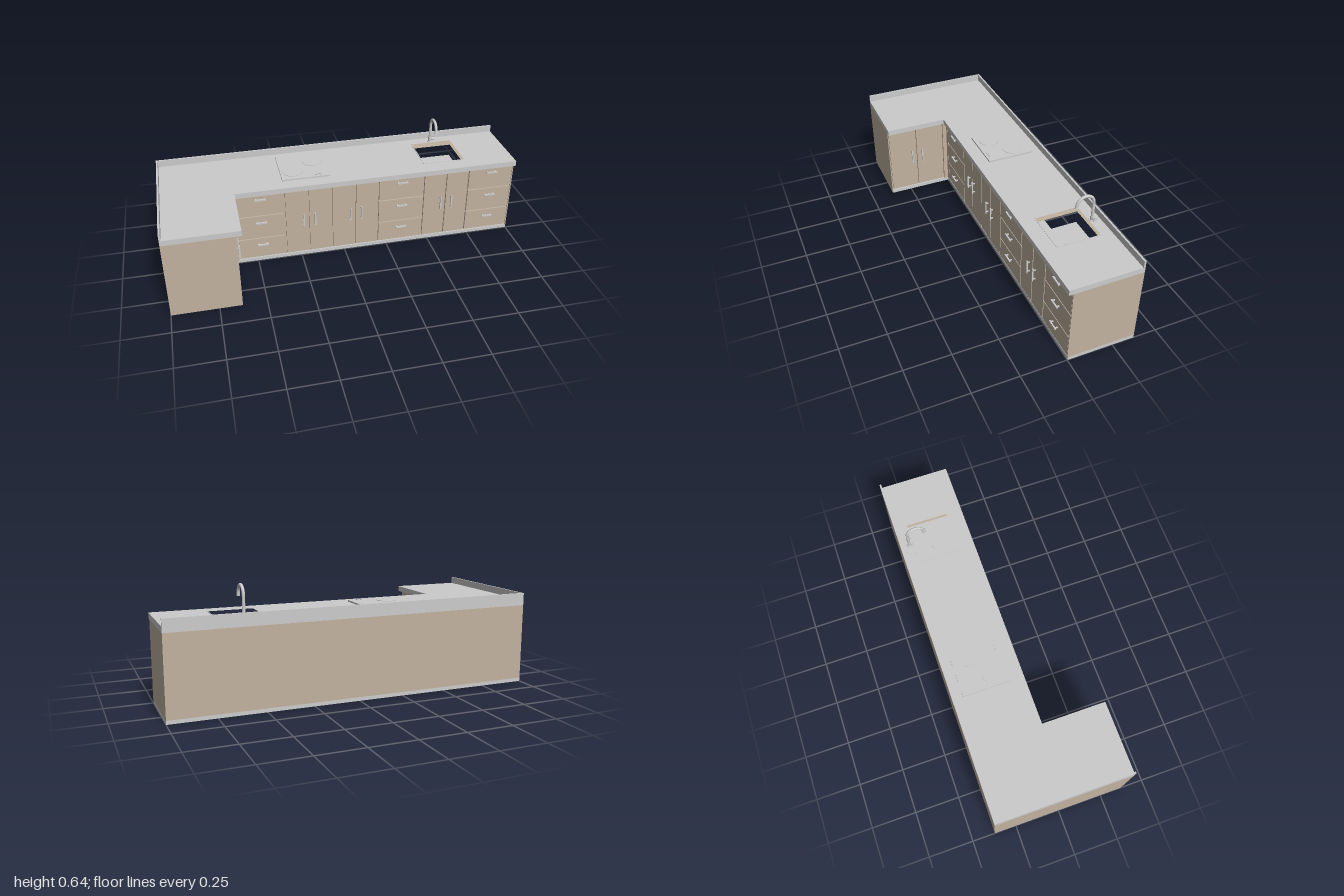
import * as THREE from 'three';

const grey = new THREE.MeshStandardMaterial({ color: 0xcccccc });
const wood = new THREE.MeshStandardMaterial({ color: 0xc1b2a0 });

const BACK = -0.373, END = 0.373, LEFT = -1, RIGHT = 1;
const SINK = { x0: 0.475, x1: 0.72, z0: -0.305, z1: -0.06 };

export function createModel() {
  const root = new THREE.Group();
  root.name = 'kitchenUnit';

  function add(name, geometry, material, parent = root) {
    const mesh = new THREE.Mesh(geometry, material);
    mesh.name = name;
    parent.add(mesh);
    return mesh;
  }

  // Box given by its min and max on each axis
  function box(name, material, x0, x1, y0, y1, z0, z1, parent = root) {
    const mesh = add(name, new THREE.BoxGeometry(x1 - x0, y1 - y0, z1 - z0), material, parent);
    mesh.position.set((x0 + x1) / 2, (y0 + y1) / 2, (z0 + z1) / 2);
    return mesh;
  }

  const rectPoints = (x0, x1, z0, z1) =>
    [[x0, z0], [x1, z0], [x1, z1], [x0, z1]].map(([x, z]) => new THREE.Vector2(x, -z));

  // Plan outline raised from y0 to y1, with an optional rectangular opening
  function slab(name, material, points, hole, y0, y1) {
    const shape = new THREE.Shape(points);
    if (hole) shape.holes.push(new THREE.Path(hole));
    const geometry = new THREE.ExtrudeGeometry(shape, { depth: y1 - y0, bevelEnabled: false });
    geometry.rotateX(-Math.PI / 2);
    geometry.translate(0, y0, 0);
    return add(name, geometry, material);
  }

  // L-shaped plan: long run along the back, short return on one side
  const plan = (faceX, faceZ, end) =>
    [[LEFT, BACK], [RIGHT, BACK], [RIGHT, faceZ], [faceX, faceZ], [faceX, end], [LEFT, end]]
      .map(([x, z]) => new THREE.Vector2(x, -z));

  const opening = rectPoints(SINK.x0, SINK.x1, SINK.z0, SINK.z1);

  // Plinth, carcass and worktop
  slab('plinth', grey, plan(-0.63, -0.002, 0.368), null, 0, 0.02);
  slab('carcass', wood, plan(-0.642, -0.012, 0.368), opening, 0.02, 0.44);
  slab('worktop', grey, plan(-0.603, 0.024, END), opening, 0.44, 0.47);
  box('endPanelReturn', wood, LEFT, -0.63, 0.004, 0.44, 0.367, END);
  box('endPanelRun', wood, 0.994, RIGHT, 0.02, 0.44, -0.012, 0);
  box('cornerPost', wood, -0.645, -0.604, 0.02, 0.44, -0.012, 0);
  box('cornerFiller', wood, -0.642, -0.63, 0.02, 0.44, -0.01, 0.024);

  // Upstands along the back and the return
  box('backUpstand', grey, LEFT, RIGHT, 0.47, 0.508, BACK, BACK + 0.01);
  box('sideUpstand', grey, LEFT, LEFT + 0.01, 0.47, 0.508, BACK + 0.01, END);

  // Bar handle on two posts, standing out along +z
  function handle(length, vertical) {
    const g = new THREE.Group();
    g.name = 'handle';
    box('handleBar', grey, -length / 2, length / 2, -0.004, 0.004, 0.012, 0.02, g);
    for (const s of [-1, 1]) {
      const x = s * length * 0.36;
      box('handlePost', grey, x - 0.003, x + 0.003, -0.003, 0.003, 0, 0.013, g);
    }
    if (vertical) g.rotation.z = Math.PI / 2;
    return g;
  }

  const GAP = 0.003;
  // Front panel in local space: x along the run, z outwards
  function front(name, parent, x0, x1, y0, y1, handleX, handleY, vertical) {
    box(name, wood, x0 + GAP, x1 - GAP, y0 + GAP, y1 - GAP, -0.013, 0, parent);
    const h = handle(vertical ? 0.08 : 0.062, vertical);
    h.position.set(handleX, handleY, 0);
    parent.add(h);
  }

  function doorPair(parent, x0, x1) {
    const mid = (x0 + x1) / 2;
    front('leftDoor', parent, x0, mid, 0.024, 0.44, mid - 0.032, 0.245, true);
    front('rightDoor', parent, mid, x1, 0.024, 0.44, mid + 0.032, 0.245, true);
  }

  function drawerStack(parent, x0, x1) {
    const levels = [0.024, 0.152, 0.298, 0.44];
    const handleY = [0.115, 0.26, 0.409];
    for (let i = 0; i < 3; i++)
      front('drawer', parent, x0, x1, levels[i], levels[i + 1], (x0 + x1) / 2, handleY[i], false);
  }

  // Long run of cupboards and drawers
  const run = new THREE.Group();
  run.name = 'longRunFronts';
  root.add(run);
  drawerStack(run, -0.604, -0.335);
  doorPair(run, -0.335, -0.069);
  doorPair(run, -0.069, 0.198);
  drawerStack(run, 0.198, 0.464);
  doorPair(run, 0.464, 0.73);
  drawerStack(run, 0.73, 0.995);

  // Return cupboard, facing +x
  const side = new THREE.Group();
  side.name = 'returnFronts';
  side.rotation.y = Math.PI / 2;
  side.position.x = -0.63;
  root.add(side);
  doorPair(side, -0.368, -0.029);

  // Sink basin and rim
  const inset = rectPoints(SINK.x0 + 0.004, SINK.x1 - 0.004, SINK.z0 + 0.004, SINK.z1 - 0.004);
  slab('sinkWalls', grey, opening, inset, 0.37, 0.472);
  box('sinkFloor', grey, SINK.x0, SINK.x1, 0.366, 0.371, SINK.z0, SINK.z1);
  const drain = add('sinkDrain', new THREE.CylinderGeometry(0.016, 0.016, 0.003, 24), grey);
  drain.position.set(0.6, 0.372, -0.18);

  // Tap
  const tap = new THREE.Group();
  tap.name = 'tap';
  tap.position.set(0.597, 0.47, -0.32);
  root.add(tap);
  function cylinder(name, r0, r1, h, x, y, z) {
    const mesh = add(name, new THREE.CylinderGeometry(r0, r1, h, 24), grey, tap);
    mesh.position.set(x, y, z);
    return mesh;
  }
  cylinder('tapFlange', 0.016, 0.017, 0.005, 0, 0.0025, 0);
  cylinder('tapBody', 0.0105, 0.0105, 0.027, 0, 0.014, 0);
  cylinder('tapLeverHub', 0.008, 0.008, 0.03, 0.013, 0.017, 0).rotation.z = Math.PI / 2;
  box('tapLever', grey, 0.022, 0.028, 0.013, 0.03, -0.012, 0.004, tap);
  const path = [new THREE.Vector3(0, 0.02, 0), new THREE.Vector3(0, 0.07, 0)];
  for (let i = 0; i <= 12; i++) {
    const a = Math.PI * 1.06 * i / 12;
    path.push(new THREE.Vector3(0, 0.112 + 0.047 * Math.sin(a), 0.047 * (1 - Math.cos(a))));
  }
  add('tapSpout', new THREE.TubeGeometry(new THREE.CatmullRomCurve3(path), 60, 0.008, 16), grey, tap);
  const nozzle = cylinder('tapNozzle', 0.0085, 0.0095, 0.012, 0, 0.105, 0.0945);
  nozzle.rotation.x = -0.19;

  // Hob with two burners and two knobs
  box('hobPlate', grey, -0.336, -0.069, 0.47, 0.479, -0.314, -0.05);
  for (const [x, z] of [[-0.266, -0.13], [-0.14, -0.22]]) {
    const burner = add('burner', new THREE.CylinderGeometry(0.055, 0.055, 0.003, 40), grey);
    burner.position.set(x, 0.48, z);
  }
  for (const x of [-0.142, -0.118]) {
    const knob = add('hobKnob', new THREE.CylinderGeometry(0.007, 0.007, 0.006, 20), grey);
    knob.position.set(x, 0.482, -0.07);
  }
  return root;
}
